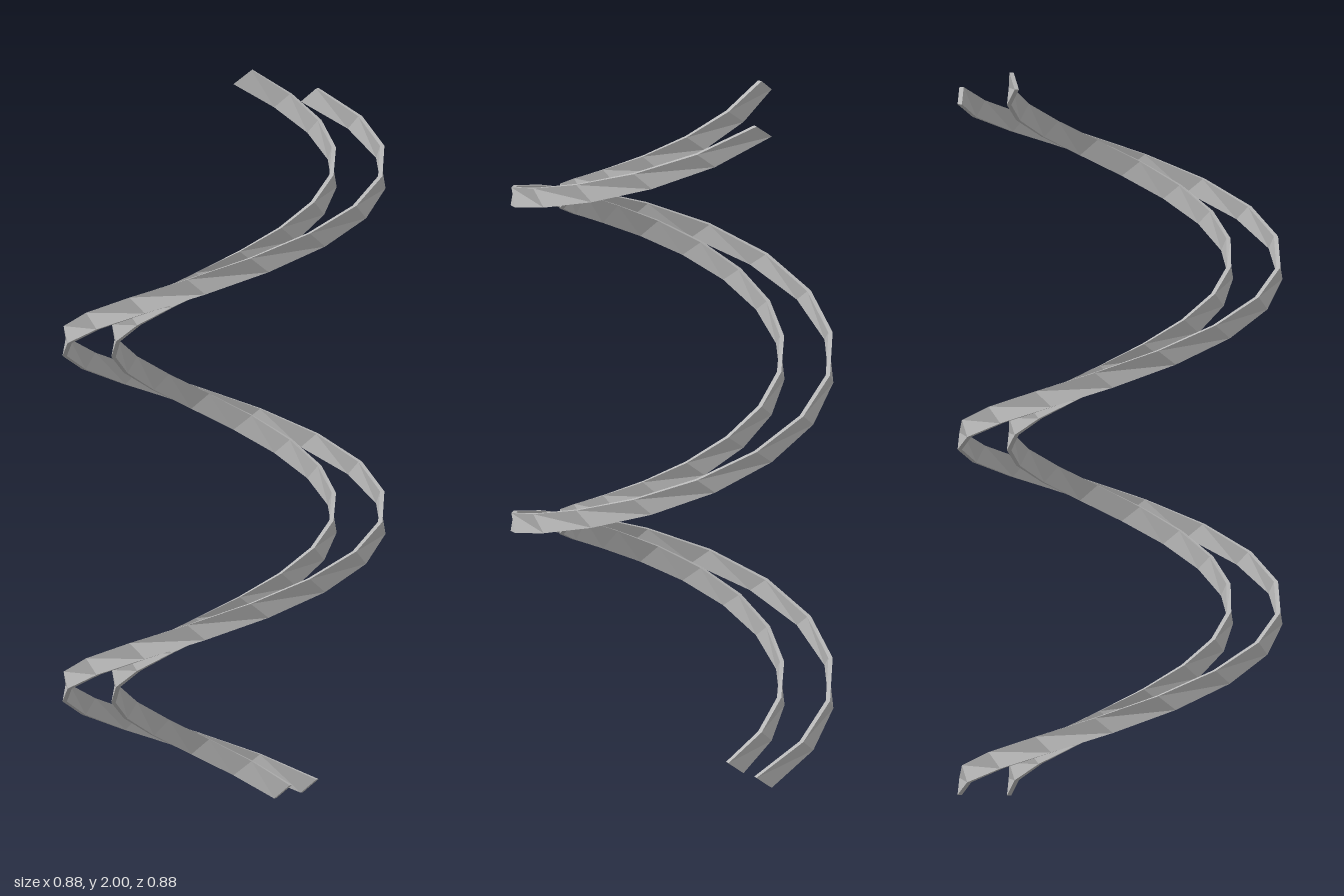
import * as THREE from 'three';

const STEP = Math.PI / 8;      // sixteen facets per turn
const PITCH = 0.95;            // rise per turn
const HALF_H = 0.02;           // half height of the slanted cross-section
const HALF_SLANT = 0.025;      // half of its lean along the path
const HALF_T = 0.006;          // half thickness

// Corners of one cross-section: [radial side, vertical side]
const CORNERS = [[1, -1], [1, 1], [-1, 1], [-1, -1]];

function ribbonGeometry(radius, segments) {
  const pos = [];
  const index = [];
  for (let i = 0; i <= segments; i++) {
    const a = i * STEP;
    const s = Math.sin(a), c = Math.cos(a);
    const y = HALF_H + (PITCH * a) / (2 * Math.PI);
    for (const [side, up] of CORNERS) {
      const r = radius + side * HALF_T;
      const lean = up * HALF_SLANT;
      pos.push(-r * s + lean * c, y + up * HALF_H, -r * c - lean * s);
    }
  }
  // Four walls along the path
  for (let i = 0; i < segments; i++) {
    for (let k = 0; k < 4; k++) {
      const a = i * 4 + k, b = i * 4 + ((k + 1) % 4);
      index.push(a, b, a + 4, b, b + 4, a + 4);
    }
  }
  // End caps
  const e = segments * 4;
  index.push(0, 2, 1, 0, 3, 2, e, e + 1, e + 2, e, e + 2, e + 3);

  // Make every face wind outwards
  const g = new THREE.BufferGeometry();
  g.setAttribute('position', new THREE.Float32BufferAttribute(pos, 3));
  const v = (n) => new THREE.Vector3().fromArray(pos, n * 3);
  let volume = 0;
  for (let i = 0; i < index.length; i += 3) {
    volume += v(index[i]).dot(v(index[i + 1]).cross(v(index[i + 2])));
  }
  if (volume < 0) index.reverse();
  g.setIndex(index);
  const flat = g.toNonIndexed();
  flat.computeVertexNormals();
  return flat;
}

export function createModel() {
  const group = new THREE.Group();
  group.name = 'doubleHelix';
  const grey = new THREE.MeshStandardMaterial({ color: 0xb8b8b8 });
  grey.name = 'grey';

  // Outer ribbon makes two turns, the inner one a facet more
  for (const [name, radius, segments] of [['outerRibbon', 0.436, 32], ['innerRibbon', 0.301, 33]]) {
    const mesh = new THREE.Mesh(ribbonGeometry(radius, segments), grey);
    mesh.name = name;
    group.add(mesh);
  }
  return group;
}
